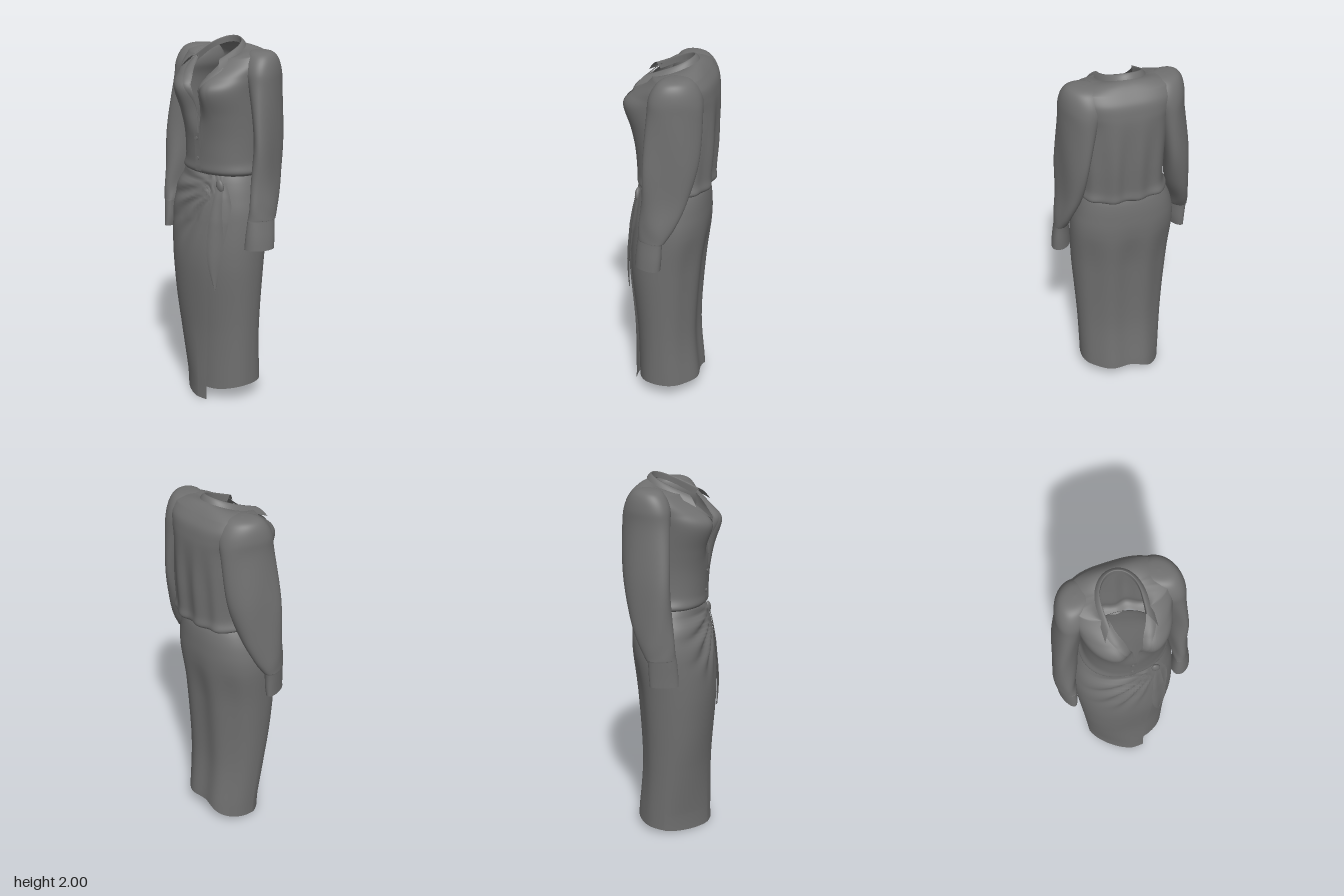
import * as THREE from 'three';
import { mergeVertices } from 'three/addons/utils/BufferGeometryUtils.js';

const { lerp, clamp, smoothstep } = THREE.MathUtils;
const fabric = new THREE.MeshStandardMaterial({ color: 0x707070, side: THREE.DoubleSide });
fabric.name = 'grey fabric';

// Cloth surface from a rule f(u, v) -> [x, y, z]
function cloth(name, nu, nv, f) {
  const pos = [], idx = [];
  for (let i = 0; i <= nu; i++)
    for (let j = 0; j <= nv; j++) pos.push(...f(i / nu, j / nv));
  for (let i = 0; i < nu; i++)
    for (let j = 0; j < nv; j++) {
      const a = i * (nv + 1) + j, b = a + nv + 1;
      idx.push(a, b, b + 1, a, b + 1, a + 1);
    }
  let g = new THREE.BufferGeometry();
  g.setAttribute('position', new THREE.Float32BufferAttribute(pos, 3));
  g.setIndex(idx);
  g = mergeVertices(g, 1e-5);
  g.computeVertexNormals();
  const m = new THREE.Mesh(g, fabric);
  m.name = name;
  return m;
}

// Smooth row between table rows
function sample(table, s) {
  const n = table.length - 1, i = Math.min(Math.floor(clamp(s, 0, n)), n - 1), t = clamp(s, 0, n) - i;
  const r = k => table[clamp(k, 0, n)];
  return r(i).map((p1, c) => {
    const p0 = r(i - 1)[c], p2 = r(i + 1)[c], p3 = r(i + 2)[c];
    return 0.5 * (2 * p1 + (p2 - p0) * t + (2 * p0 - 5 * p1 + 4 * p2 - p3) * t * t + (3 * p1 - p0 - 3 * p2 + p3) * t ** 3);
  });
}

// Row index at a given height, rows ordered by rising y
function rowAt(table, y) {
  let i = 0;
  while (i < table.length - 2 && table[i + 1][0] < y) i++;
  return clamp(i + (y - table[i][0]) / (table[i + 1][0] - table[i][0]), 0, table.length - 1);
}

// Rounded section, squarer for a larger n; angle 0 is the front, a quarter turn is +x
function ring([y, xl, xr, zb, zf], a, nFront, nBack = nFront) {
  const s = Math.sin(a), c = Math.cos(a), p = 2 / (c > 0 ? nFront : nBack);
  return [(xl + xr) / 2 + (xr - xl) / 2 * Math.sign(s) * Math.abs(s) ** p, y,
    (zb + zf) / 2 + (zf - zb) / 2 * Math.sign(c) * Math.abs(c) ** p];
}

// Section rows: y, x right, x left, z back, z front
const TORSO = [
  [1.285, -0.19, 0.21, -0.19, 0.14], [1.31, -0.23, 0.25, -0.228, 0.178], [1.37, -0.21, 0.24, -0.228, 0.18],
  [1.5, -0.21, 0.24, -0.238, 0.19], [1.62, -0.22, 0.24, -0.243, 0.218], [1.75, -0.235, 0.24, -0.245, 0.262],
  [1.82, -0.25, 0.25, -0.24, 0.205], [1.88, -0.26, 0.26, -0.226, 0.15], [1.93, -0.25, 0.25, -0.19, 0.09],
];
const SKIRT = [
  [0, -0.22, 0.24, -0.183, 0.205], [0.1, -0.225, 0.24, -0.175, 0.203], [0.4, -0.245, 0.25, -0.152, 0.205],
  [0.8, -0.275, 0.275, -0.175, 0.232], [1.05, -0.293, 0.283, -0.208, 0.215], [1.18, -0.275, 0.265, -0.21, 0.195],
  [1.27, -0.235, 0.24, -0.2, 0.172], [1.32, -0.2, 0.215, -0.18, 0.15],
];
// Upper sleeve, the same on both sides
const SHOULDER = [
  [1.75, 0.17, 0.328, -0.21, 0.065], [1.85, 0.13, 0.325, -0.205, 0.06],
  [1.915, 0.13, 0.308, -0.175, 0.03], [1.945, 0.15, 0.275, -0.135, -0.01], [1.952, 0.212, 0.212, -0.078, -0.078],
];
const SLEEVE_LEFT = [
  [0.915, 0.27, 0.38, -0.02, 0.13], [0.98, 0.275, 0.376, -0.025, 0.125], [1.065, 0.283, 0.366, -0.03, 0.115],
  [1.08, 0.277, 0.368, -0.045, 0.112], [1.16, 0.265, 0.365, -0.09, 0.103], [1.3, 0.245, 0.347, -0.15, 0.09],
  [1.5, 0.23, 0.337, -0.2, 0.08], ...SHOULDER,
];
const SLEEVE_RIGHT = [
  [0.925, 0.305, 0.37, -0.02, 0.125], [0.98, 0.297, 0.374, -0.025, 0.122], [1.065, 0.295, 0.382, -0.03, 0.115],
  [1.08, 0.288, 0.386, -0.045, 0.112], [1.16, 0.275, 0.388, -0.09, 0.103], [1.3, 0.24, 0.38, -0.15, 0.09],
  [1.5, 0.215, 0.362, -0.2, 0.08], ...SHOULDER,
];

const V = 0.45, NECK = 1.2, TOP = TORSO.length, V_ROW = 3.3;
function neck(na) {
  const x = -0.006 + 0.1 * Math.sin(na), z = Math.cos(na) * (Math.cos(na) > 0 ? 0.25 : 0.115);
  return [x, 1.963 - 0.45 * (z + 0.1), z];
}

// Blouse body at angle a (-PI..PI) and row s; the last row is the neckline
function torso(a, s) {
  const p = ring(sample(TORSO, Math.min(s, TOP - 1)), a, 2.2, 2.9), y = p[1];
  if (p[2] > 0) {
    p[2] -= 0.065 * Math.exp(-((p[0] / 0.06) ** 2)) * smoothstep(y, 1.5, 1.72);
    p[1] -= p[2] * 0.25 * smoothstep(y, 1.8, 1.93);
  } else p[2] += 0.008 * Math.sin(p[0] * 48) * smoothstep(-p[2], 0.08, 0.18) * (1 - smoothstep(y, 1.5, 1.85));
  if (s <= TOP - 1) return p;
  const m = Math.abs(a);
  const na = m < V ? NECK * m / V : lerp(NECK, Math.PI, (m - V) / (Math.PI - V));
  const q = neck(Math.sign(a) * na), t = s - TOP + 1;
  return p.map((c, i) => lerp(c, q[i], t) + (i === 1 ? 0.012 * Math.sin(Math.PI * t) : 0));
}
const topRow = a => V_ROW + (TOP - V_ROW) * Math.min(1, Math.abs(a) / V) ** 0.8;

// Skirt surface at angle a and height y, with folds fanning out of the knot
function skirt(a, y, scale = 1) {
  // Towards the hem the section turns flat at the front right and fuller beside it
  const low = 1 - smoothstep(y, 0.05, 0.62), right = Math.sin(a) < 0;
  const p = ring(sample(SKIRT, rowAt(SKIRT, y)), a, lerp(2.2, right ? 1.45 : 2.6, low), lerp(2.2, right ? 2.5 : 2.2, low));
  const dx = 0.14 - p[0], dy = 1.25 - y, d = Math.hypot(dx, dy);
  if (p[2] > 0 && dx > 0) {
    const fan = Math.atan2(dy, dx);
    p[2] += 0.011 * Math.sin(fan * 19 - d * 4) * smoothstep(d, 0.02, 0.1) * (1 - smoothstep(d, 0.22, 0.5))
      * (1 - smoothstep(fan, 0.9, 1.4)) * smoothstep(p[2], 0, 0.1);
  }
  if (p[2] < 0) p[2] += 0.008 * Math.cos(p[0] * 30) * smoothstep(-p[2], 0.05, 0.15) * (1 - smoothstep(y, 0.8, 1.15));
  return [p[0] * scale, p[1], p[2] * scale];
}
function skirtFront(x, y) {
  const [, xl, xr] = sample(SKIRT, rowAt(SKIRT, y));
  const k = clamp((x - (xl + xr) / 2) / ((xr - xl) / 2), -1, 1);
  return skirt(Math.asin(Math.sign(k) * Math.abs(k) ** 1.1), y)[2];
}

function sleeve(side, table) {
  const g = new THREE.Group();
  g.name = side > 0 ? 'leftSleeve' : 'rightSleeve';
  const part = (name, s0, s1, nv) => g.add(cloth(name, 48, nv, (u, v) => {
    const s = lerp(s0, s1, v), a = u * Math.PI * 2, row = sample(table, s), p = ring(row, a, 2.1);
    // Slant: the back of the upper arm lies inward, the front of the cuff lies inward
    const slant = lerp(-0.3, 0.24, smoothstep(s, 2, 6)) * (p[2] - (row[3] + row[4]) / 2);
    const w = 0.003 * Math.sin(a * 4 + s * 2) * smoothstep(s, 3, 4) * (1 - smoothstep(s, 6, 8));
    return [side * (p[0] + slant + Math.sin(a) * w), p[1], p[2] + Math.cos(a) * w];
  }));
  part('cuff', 0, 2, 8);
  part('sleeveTube', 2, table.length - 1, 60);
  return g;
}

export function createModel() {
  const model = new THREE.Group();
  model.name = 'blouseAndWrapSkirt';
  const PI = Math.PI;

  // Blouse body with an open V neck
  model.add(cloth('blouseBody', 160, 64, (u, v) => {
    const a = lerp(-PI, PI, u);
    return torso(a, v * topRow(a));
  }));
  model.add(sleeve(1, SLEEVE_LEFT), sleeve(-1, SLEEVE_RIGHT));

  // Lapels folded back along the V edge
  for (const side of [1, -1])
    model.add(cloth(side > 0 ? 'leftLapel' : 'rightLapel', 28, 6, (u, v) => {
      const a = V * lerp(0.04, 0.9, u), w = 0.2 * Math.sin(PI * u ** 1.3) * v;
      const p = torso(side * (a + w), topRow(a) - 0.3 * v * u);
      return [p[0], p[1], p[2] + 0.004 + 0.014 * Math.sin(PI * (0.25 + 0.7 * v)) * u];
    }));

  // Shirt collar: stand, fold and a pointed fall that juts forward at the front
  model.add(cloth('collar', 80, 12, (u, v) => {
    const na = lerp(NECK, 2 * PI - NECK, u), p = neck(na), f = Math.abs(2 * u - 1) ** 5;
    const out = Math.max(0, v - 0.4) / 0.6, up = Math.min(v / 0.4, 1) * 0.035;
    const width = lerp(0.026, 0.045, f);
    return [p[0] + Math.sin(na) * width * out, p[1] + up - out * lerp(0.025, 0.06, f) * (0.3 + 0.7 * out),
      p[2] + Math.cos(na) * width * out * (1 - f) + f * (0.02 * Math.min(v / 0.4, 1) + 0.055 * out)];
  }));

  // Placket edge and buttons
  const frontZ = y => torso(0, rowAt(TORSO, y))[2];
  model.add(cloth('placket', 4, 12, (u, v) => {
    const y = lerp(1.31, 1.52, v);
    return [lerp(-0.022, 0.016, u), y, frontZ(y) + 0.003];
  }));
  for (const y of [1.38, 1.49]) {
    const b = new THREE.Mesh(new THREE.CylinderGeometry(0.009, 0.009, 0.008, 16), fabric);
    b.rotation.x = PI / 2;
    b.position.set(-0.005, y, frontZ(y) + 0.005);
    b.name = 'button';
    model.add(b);
  }

  // Wrap skirt: one sheet from the outer front edge round to the under layer
  model.add(cloth('wrapSkirt', 170, 72, (u, v) => {
    const turn = u * (2 * PI + 0.5);
    const hem = 0.004 + 0.046 * smoothstep(turn, 0.3, 0.8 * PI) + 0.045 * smoothstep(turn, 0.75 * PI, 1.05 * PI)
      - 0.015 * smoothstep(turn, 1.6 * PI, 2 * PI);
    const y = lerp(hem, 1.32, v);
    const edge = lerp(0.18, 0.34, smoothstep(y, 0, 0.8)) + 0.3 * smoothstep(y, 0.75, 1.25);
    const under = smoothstep(turn, 1.5 * PI, 2 * PI - 0.3);
    return skirt(edge - turn, y, 1 - under * lerp(0.12, 0.04, smoothstep(y, 0, 0.8)));
  }));

  // Gathered knot and its hanging tails
  const knot = new THREE.Mesh(new THREE.SphereGeometry(1, 24, 16), fabric);
  knot.scale.set(0.024, 0.036, 0.015);
  knot.position.set(0.135, 1.245, skirtFront(0.135, 1.245) + 0.005);
  knot.rotation.z = 0.3;
  knot.name = 'knot';
  model.add(knot);
  const tail = (name, rows, lift) => model.add(cloth(name, 8, 40, (u, v) => {
    const [y, x, half] = sample(rows, v * (rows.length - 1));
    const px = x + lerp(-half, half, u);
    return [px, y, skirtFront(px, y) + lift + 0.003 * Math.sin(u * PI * 2) * smoothstep(v, 0, 0.3)];
  }));
  tail('frontTail', [[1.25, 0.14, 0.015], [1.1, 0.14, 0.032], [0.95, 0.145, 0.045], [0.82, 0.147, 0.036], [0.67, 0.148, 0.001]], 0.011);
  tail('sideTail', [[1.26, 0.15, 0.015], [1.14, 0.175, 0.03], [1.0, 0.172, 0.025], [0.86, 0.17, 0.002]], 0.005);
  return model;
}
